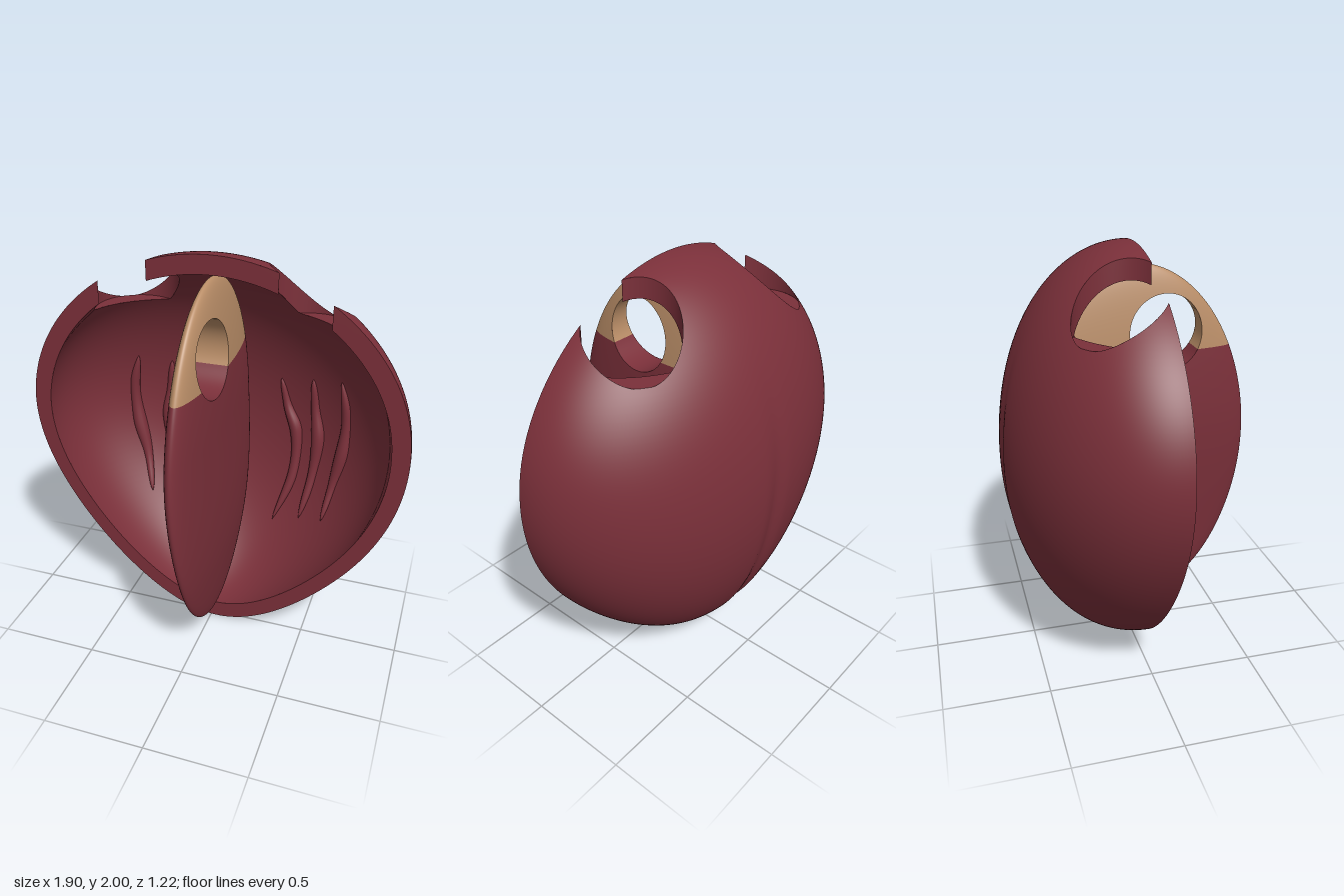
import * as THREE from 'three';
import { mergeVertices } from 'three/addons/utils/BufferGeometryUtils.js';

const { smoothstep } = THREE.MathUtils;
const V = (x, y, z) => new THREE.Vector3(x, y, z);
const CUT = 0.03;      // z of the flat front cut, also the egg centre
const DEPTH = 0.645;   // egg radius in z
const INNER = 0.91;    // scale of the inner wall
const SEPTUM = 0.9;    // scale of the septum
const THIN = 0.11;     // how far the septum is flattened in x

// Egg outline: half width and sideways drift at relative height c (-1..1)
const width = (c) => 0.94 + 0.165 * c - 0.12 * c * c;
const drift = (c) => 0.03 * smoothstep(-c, -0.25, 0.6);

// Point on the egg for a unit direction, and the matching implicit function
function egg(nx, c, nz, s, thin = 1) {
  return V(s * (nx * width(c) * thin + drift(c)), 1 + s * c, CUT + s * DEPTH * nz);
}
function eggField(p, s, thin = 1) {
  const c = (p.y - 1) / s;
  const x = (p.x / s - drift(c)) / (width(c) * thin);
  return Math.hypot(x, c, (p.z - CUT) / s / DEPTH) - 1;
}

// Keep only the part of a polygon where f >= 0
function clip(poly, f) {
  const out = [];
  poly.forEach((a, i) => {
    const b = poly[(i + 1) % poly.length];
    const fa = f(a), fb = f(b);
    if (fa >= 0) out.push(a);
    if ((fa >= 0) !== (fb >= 0)) {
      // interpolate in a fixed direction so shared edges match
      out.push(fa >= 0 ? a.clone().lerp(b, fa / (fa - fb)) : b.clone().lerp(a, fb / (fb - fa)));
    }
  });
  return out;
}

// Smooth surface from fn(u, v), trimmed by a list of functions
function surface(fn, nu, nv, trims = []) {
  const pos = [];
  const add = (tri) => {
    const poly = trims.reduce((p, f) => (p.length ? clip(p, f) : p), tri);
    for (let i = 1; i + 1 < poly.length; i++) {
      for (const p of [poly[0], poly[i], poly[i + 1]]) pos.push(p.x, p.y, p.z);
    }
  };
  const rows = [];
  for (let j = 0; j <= nv; j++) {
    rows.push([]);
    for (let i = 0; i <= nu; i++) rows[j].push(fn(i / nu, j / nv));
  }
  for (let j = 0; j < nv; j++) {
    for (let i = 0; i < nu; i++) {
      const a = rows[j][i], b = rows[j][i + 1], c = rows[j + 1][i + 1], d = rows[j + 1][i];
      add([a, b, c]);
      add([a, c, d]);
    }
  }
  const geo = new THREE.BufferGeometry();
  geo.setAttribute('position', new THREE.Float32BufferAttribute(pos, 3));
  const merged = mergeVertices(geo, 1e-5);
  merged.computeVertexNormals();
  return merged;
}

export function createModel() {
  const model = new THREE.Group();
  model.name = 'heartHalf';
  const red = new THREE.MeshStandardMaterial({ color: 0x7b303a, side: THREE.DoubleSide });
  red.name = 'muscleRed';
  const tan = new THREE.MeshStandardMaterial({ color: 0xb98d67, side: THREE.DoubleSide });
  tan.name = 'membraneTan';
  const put = (name, geo, mat, parent = model) => {
    const mesh = new THREE.Mesh(geo, mat);
    mesh.name = name;
    parent.add(mesh);
  };

  // Vessel openings: vertical round bores from the top down to a flat floor
  const BORE = { x: 0.43, z: -0.135, r: 0.205, floor: 1.66 };
  const outsideBores = (p) => Math.max(
    Math.hypot(Math.abs(p.x) - BORE.x, p.z - BORE.z) - BORE.r, BORE.floor - p.y);
  const behindCut = (p) => CUT - p.z;
  const inWall = [(p) => -eggField(p, 1), (p) => eggField(p, INNER), behindCut];

  // Shell: half egg outside (with a shallow seam down the back) and inside
  const half = (s, seam, flip) => (u, v) => {
    const t = Math.PI * (flip ? 1 - u : u), f = Math.PI * v;
    const nx = Math.sin(f) * Math.cos(t), c = Math.cos(f);
    const p = egg(nx, c, -Math.sin(f) * Math.sin(t), s);
    p.z += seam * Math.sin(f) * Math.sin(t) * smoothstep(-c, -0.7, 0.2) * Math.max(0, 1 - Math.abs(nx) / 0.08);
    return p;
  };
  const shell = new THREE.Group();
  shell.name = 'shell';
  model.add(shell);
  put('outerWall', surface(half(1, 0.018, false), 128, 96, [outsideBores]), red, shell);
  put('innerWall', surface(half(INNER, 0, true), 96, 80, [outsideBores]), red, shell);

  // Flat rim on the front cut
  put('frontRim', surface((u, v) => {
    const a = 2 * Math.PI * u;
    return egg(Math.sin(a), Math.cos(a), 0, INNER + (1 - INNER) * v);
  }, 240, 6, [outsideBores]), red, shell);

  // Bore walls and the ledges at their floors
  for (const side of [-1, 1]) {
    const ring = (u, r, y) => V(
      side * BORE.x + r * Math.cos(2 * Math.PI * u), y, BORE.z + r * Math.sin(2 * Math.PI * u));
    const label = side > 0 ? 'left' : 'right';
    put(label + 'BoreWall', surface((u, v) => ring(u, BORE.r, BORE.floor + 0.36 * v), 72, 24, inWall), red, shell);
    put(label + 'BoreLedge', surface((u, v) => ring(-u, BORE.r * v, BORE.floor), 64, 14, inWall), red, shell);
  }

  // Septum: thin upright egg with a round window, tan above the dividing line
  const HOLE = { y: 1.58, z: 0.18, r: 0.18 };
  const LINE = 1.49;
  const outsideHole = (p) => Math.hypot(p.y - HOLE.y, p.z - HOLE.z) - HOLE.r;
  const inSeptum = (p) => -eggField(p, SEPTUM, THIN);
  const body = (u, v) => {
    const t = 2 * Math.PI * u, f = Math.PI * v;
    return egg(Math.sin(f) * Math.cos(t), Math.cos(f), -Math.sin(f) * Math.sin(t), SEPTUM, THIN);
  };
  const window = (u, v) => V(0.24 * v - 0.12,
    HOLE.y + HOLE.r * Math.cos(2 * Math.PI * u), HOLE.z + HOLE.r * Math.sin(2 * Math.PI * u));
  const septum = new THREE.Group();
  septum.name = 'septum';
  model.add(septum);
  for (const [label, mat, zone] of [
    ['upper', tan, (p) => p.y - LINE], ['lower', red, (p) => LINE - p.y]]) {
    put(label + 'Septum', surface(body, 128, 96, [outsideHole, zone]), mat, septum);
    put(label + 'WindowWall', surface(window, 72, 24, [inSeptum, zone]), mat, septum);
  }

  // Muscle strands: wavy tapered cords half sunk into the inner wall
  const onInnerWall = (x, y) => {
    const c = (y - 1) / INNER, nx = x / INNER / width(c);
    return egg(nx, c, -Math.sqrt(Math.max(0, 1 - nx * nx - c * c)), INNER);
  };
  const strands = [
    [[0.55, 1.30], [0.585, 1.12], [0.575, 0.92], [0.53, 0.72], [0.485, 0.52]],
    [[0.39, 1.26], [0.405, 1.10], [0.425, 0.93], [0.40, 0.70], [0.35, 0.47]],
    [[0.21, 1.22], [0.245, 1.07], [0.295, 0.93], [0.285, 0.68], [0.195, 0.41]],
  ];
  for (const side of [-1, 1]) {
    strands.forEach((pts, i) => {
      const path = new THREE.CatmullRomCurve3(pts.map(([x, y]) => onInnerWall(side * x, y)));
      const cord = (u, v) => {
        const a = 2 * Math.PI * u;
        const r = 0.034 * Math.pow(Math.sin(Math.PI * v), 0.6) * (1 + 0.12 * Math.sin(14 * v + i));
        const p = path.getPoint(v);
        return V(p.x + r * Math.cos(a), p.y, p.z + r * Math.sin(a));
      };
      put((side > 0 ? 'left' : 'right') + 'Strand' + (i + 1), surface(cord, 16, 40), red);
    });
  }
  return model;
}
